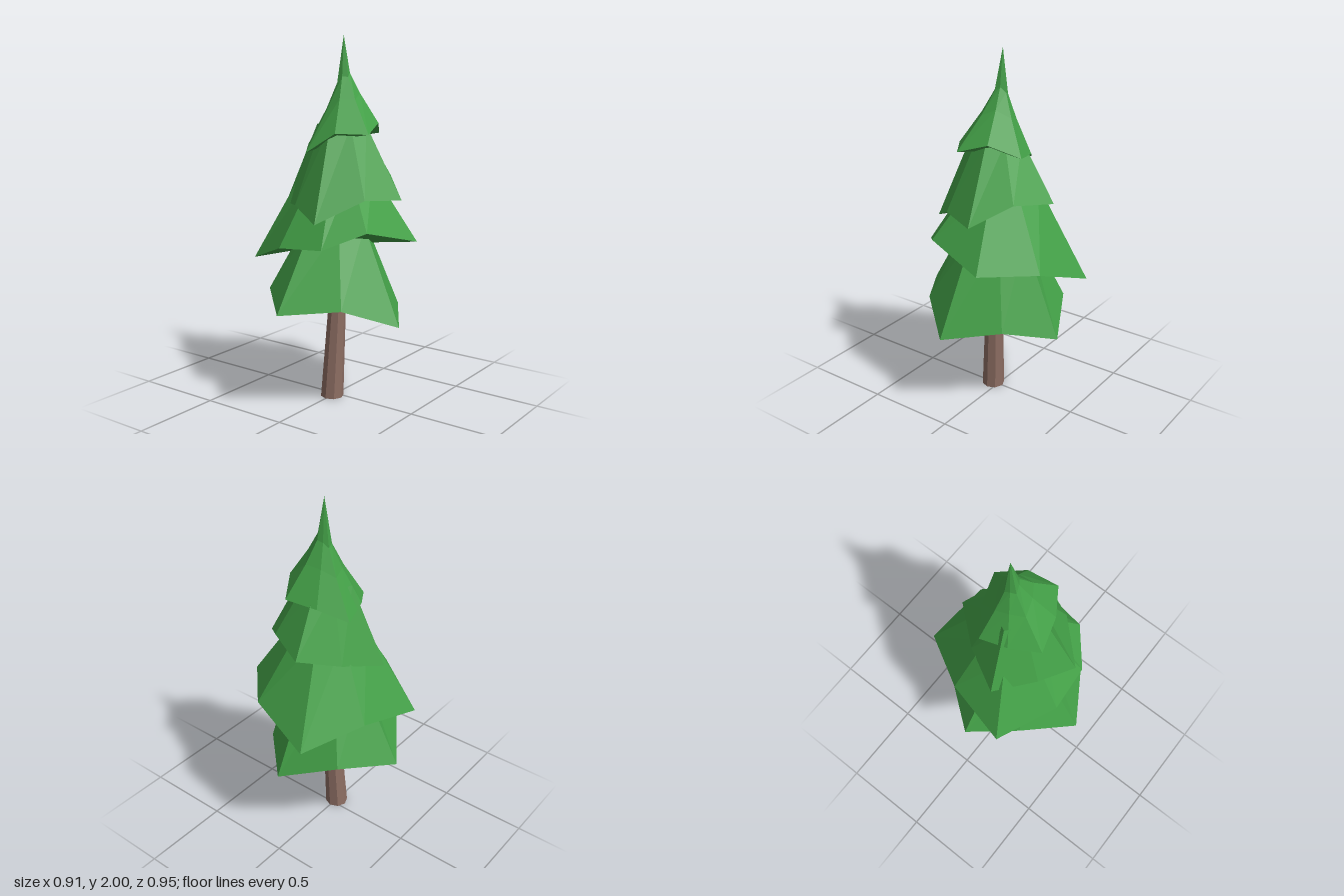
import * as THREE from 'three';

const needleGreen = new THREE.MeshStandardMaterial({ color: 0x43a047 });
needleGreen.name = 'needleGreen';
const barkBrown = new THREE.MeshStandardMaterial({ color: 0x8d6e63 });
barkBrown.name = 'barkBrown';

// Each tier: irregular rim corners, then rings above it as
// { x, y, z: centre point, t: share of the height climbed, s: share of the rim width kept }
const tiers = [
  {
    name: 'bottomBranches',
    rim: [[-0.455, 0.55, -0.015], [-0.27, 0.635, 0.245], [-0.03, 0.57, 0.473], [0.25, 0.598, 0.295],
      [0.452, 0.49, 0.057], [0.27, 0.535, -0.22], [0.05, 0.47, -0.43], [-0.25, 0.58, -0.28]],
    peak: [0.01, 1.0, 0.0], rings: [[1, 0.45]],
  },
  {
    name: 'lowerBranches',
    rim: [[-0.42, 0.78, 0.195], [-0.1, 0.9, 0.365], [0.16, 0.915, 0.345], [0.335, 1.0, 0.19],
      [0.42, 0.91, -0.165], [0.195, 0.9, -0.405], [-0.16, 0.765, -0.477], [-0.34, 0.85, -0.165]],
    peak: [0.01, 1.28, -0.03], rings: [[1, 0.42]],
  },
  {
    name: 'upperBranches',
    rim: [[-0.293, 1.09, 0.065], [-0.1, 1.11, 0.23], [0.105, 1.04, 0.33], [0.28, 1.155, 0.13],
      [0.372, 1.14, -0.08], [0.2, 1.245, -0.24], [-0.025, 1.21, -0.34], [-0.18, 1.15, -0.155]],
    peak: [0.02, 1.53, -0.02], rings: [[1, 0.42]],
  },
  {
    name: 'topBranches',
    rim: [[-0.18, 1.385, -0.095], [-0.14, 1.42, 0.06], [-0.045, 1.39, 0.205], [0.115, 1.495, 0.165],
      [0.26, 1.49, 0.07], [0.215, 1.54, -0.09], [0.125, 1.475, -0.235], [-0.04, 1.45, -0.185]],
    peak: [0.02, 2.0, -0.045], rings: [[0.66, 0.47], [0.43, 0.18], [0, 0]].map(([t, s]) => [t, s]),
    pointed: true,
  },
];

// Faceted skirt: rim, rings that shrink toward the peak, and a closed underside
function skirt({ rim, peak, rings, pointed }) {
  const loops = [rim];
  for (const [t, s] of rings) {
    loops.push(rim.map((p) => [
      peak[0] + (p[0] - peak[0]) * s,
      pointed ? peak[1] + (p[1] - peak[1]) * t : peak[1],
      peak[2] + (p[2] - peak[2]) * s,
    ]));
  }
  const n = rim.length;
  const under = [0, 1, 2].map((k) => rim.reduce((sum, p) => sum + p[k], 0) / n);
  const out = [];
  for (let i = 0; i < n; i++) {
    const j = (i + 1) % n;
    for (let r = 0; r + 1 < loops.length; r++) {
      const a = loops[r][i], b = loops[r][j], c = loops[r + 1][j], d = loops[r + 1][i];
      out.push(...a, ...b, ...c);
      if (!(pointed && r === loops.length - 2)) out.push(...a, ...c, ...d);
    }
    out.push(...rim[j], ...rim[i], ...under);
  }
  const geometry = new THREE.BufferGeometry();
  geometry.setAttribute('position', new THREE.Float32BufferAttribute(out, 3));
  geometry.computeVertexNormals();
  return geometry;
}

// Tapered trunk, sheared so that it leans slightly
function trunkGeometry() {
  const height = 0.75;
  const geometry = new THREE.CylinderGeometry(0.043, 0.064, height, 8).toNonIndexed();
  geometry.translate(0, height / 2, 0);
  const p = geometry.attributes.position;
  for (let i = 0; i < p.count; i++) {
    const y = p.getY(i);
    p.setXYZ(i, p.getX(i) + 0.036 * y, y + 0.005, p.getZ(i) + 0.033 - 0.04 * y);
  }
  geometry.computeVertexNormals();
  return geometry;
}

export function createModel() {
  const tree = new THREE.Group();
  tree.name = 'pineTree';

  const trunk = new THREE.Mesh(trunkGeometry(), barkBrown);
  trunk.name = 'trunk';
  tree.add(trunk);

  for (const tier of tiers) {
    const mesh = new THREE.Mesh(skirt(tier), needleGreen);
    mesh.name = tier.name;
    tree.add(mesh);
  }
  return tree;
}
